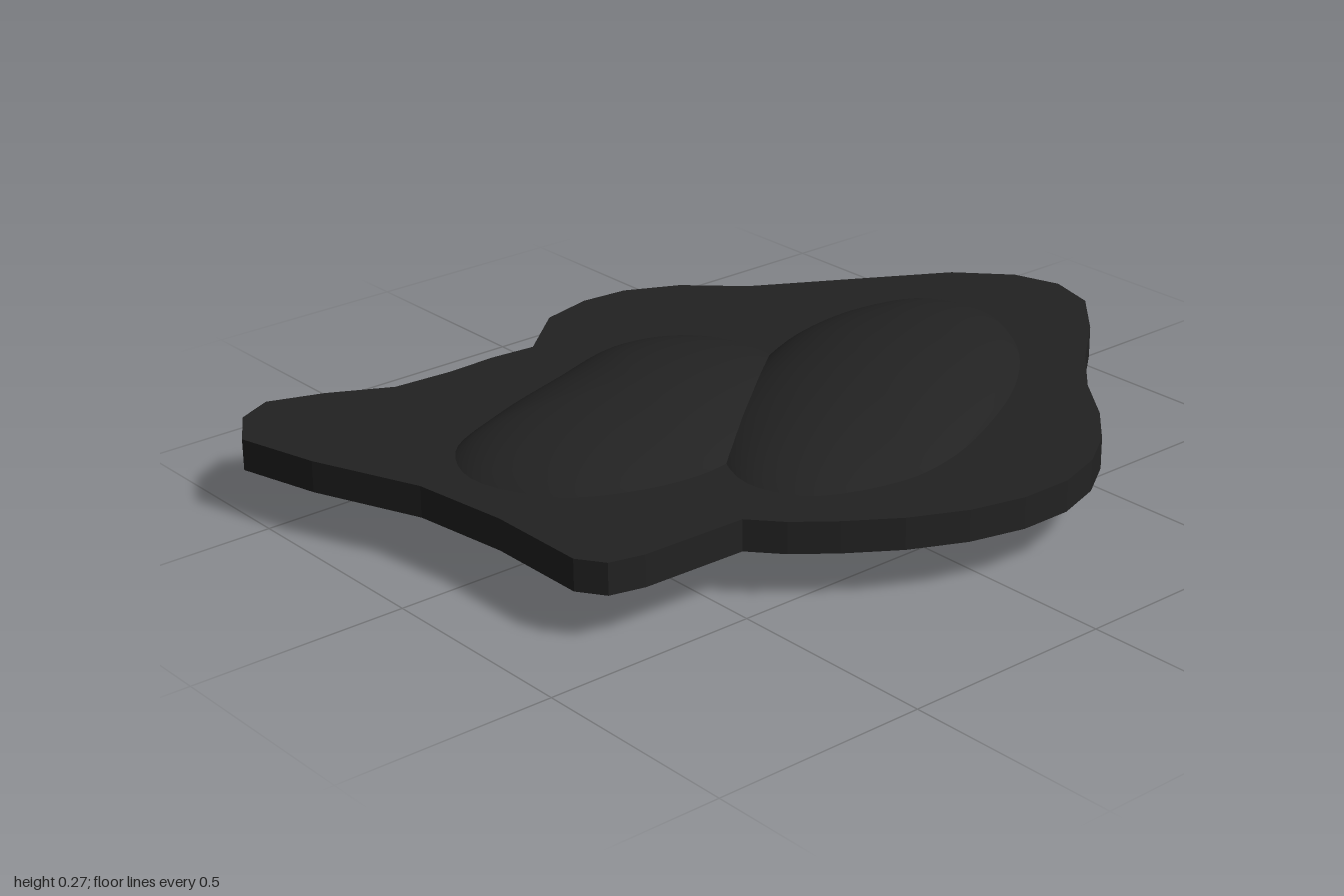
import * as THREE from 'three';
import { mergeVertices } from 'three/addons/utils/BufferGeometryUtils.js';

const charcoal = new THREE.MeshStandardMaterial({ color: 0x222222 });
charcoal.name = 'charcoal';

// Irregular slab contour as [x, z], clockwise from the back tip
const slabOutline = [
  [-0.066, -1], [0.055, -0.966], [0.18, -0.85], [0.295, -0.71], [0.415, -0.59], [0.54, -0.495],
  [0.635, -0.4], [0.7, -0.3], [0.737, -0.185], [0.737, -0.06], [0.705, 0.07], [0.645, 0.195],
  [0.57, 0.305], [0.5, 0.39], [0.43, 0.45], [0.425, 0.7], [0.405, 0.78], [0.345, 0.82],
  [0.1, 0.82], [-0.135, 0.85], [-0.39, 0.95], [-0.585, 1], [-0.685, 0.935], [-0.725, 0.85],
  [-0.68, 0.725], [-0.605, 0.585], [-0.595, 0.44], [-0.6, 0.32], [-0.59, 0.21], [-0.71, 0.07],
  [-0.742, -0.06], [-0.732, -0.175], [-0.67, -0.3], [-0.555, -0.42], [-0.39, -0.7],
  [-0.295, -0.86], [-0.18, -0.965],
];

// Pebble contours where they leave the slab's top, running left, front, right, back
const longOutline = [
  [-0.265, -0.53], [-0.25, -0.32], [-0.165, -0.11], [-0.045, 0.09], [0.115, 0.25], [0.305, 0.335],
  [0.44, 0.28], [0.515, 0.08], [0.5, -0.08], [0.415, -0.29], [0.295, -0.49], [0.135, -0.65],
  [-0.075, -0.74], [-0.21, -0.69],
];
const shortOutline = [
  [-0.462, 0.08], [-0.395, 0.31], [-0.315, 0.545], [-0.235, 0.695], [-0.087, 0.757], [0.098, 0.68],
  [0.187, 0.53], [0.214, 0.345], [0.16, 0.16], [0.055, -0.015], [-0.087, -0.14], [-0.235, -0.185],
  [-0.35, -0.153], [-0.43, -0.07],
];

function addMesh(group, name, geometry) {
  const mesh = new THREE.Mesh(geometry, charcoal);
  mesh.name = name;
  group.add(mesh);
}

// Sphere reshaped to a smooth plan contour, with its own upper and lower height
function pebble(outline, cx, cz, bottom, top) {
  const midY = 0.12;
  const grow = 1 / 0.92;
  const curve = new THREE.CatmullRomCurve3(
    outline.map(([x, z]) => new THREE.Vector3((x - cx) * grow, 0, (z - cz) * grow)), true, 'centripetal');
  const geo = new THREE.SphereGeometry(1, 64, 32);
  const pos = geo.attributes.position;
  const uv = geo.attributes.uv;
  const p = new THREE.Vector3();
  for (let i = 0; i < pos.count; i++) {
    const y = pos.getY(i);
    const spread = Math.sqrt(Math.max(0, 1 - y * y));
    curve.getPoint(((uv.getX(i) % 1) + 1) % 1, p);
    pos.setXYZ(i, cx + p.x * spread, midY + y * (y > 0 ? top - midY : midY - bottom), cz + p.z * spread);
  }
  geo.deleteAttribute('uv');
  geo.deleteAttribute('normal');
  const smooth = mergeVertices(geo, 1e-5);
  smooth.computeVertexNormals();
  return smooth;
}

export function createModel() {
  const model = new THREE.Group();
  model.name = 'pebbleSlab';

  // Flat slab with faceted edges
  const shape = new THREE.Shape(slabOutline.map(([x, z]) => new THREE.Vector2(x, -z)));
  const slab = new THREE.ExtrudeGeometry(shape, { depth: 0.073, bevelEnabled: false });
  slab.rotateX(-Math.PI / 2).translate(0, 0.11, 0);
  addMesh(model, 'slab', slab);

  // Two overlapping pebbles bulging through both faces
  addMesh(model, 'longPebble', pebble(longOutline, 0.125, -0.2, 0, 0.273));
  addMesh(model, 'shortPebble', pebble(shortOutline, -0.125, 0.285, 0.013, 0.268));

  return model;
}
